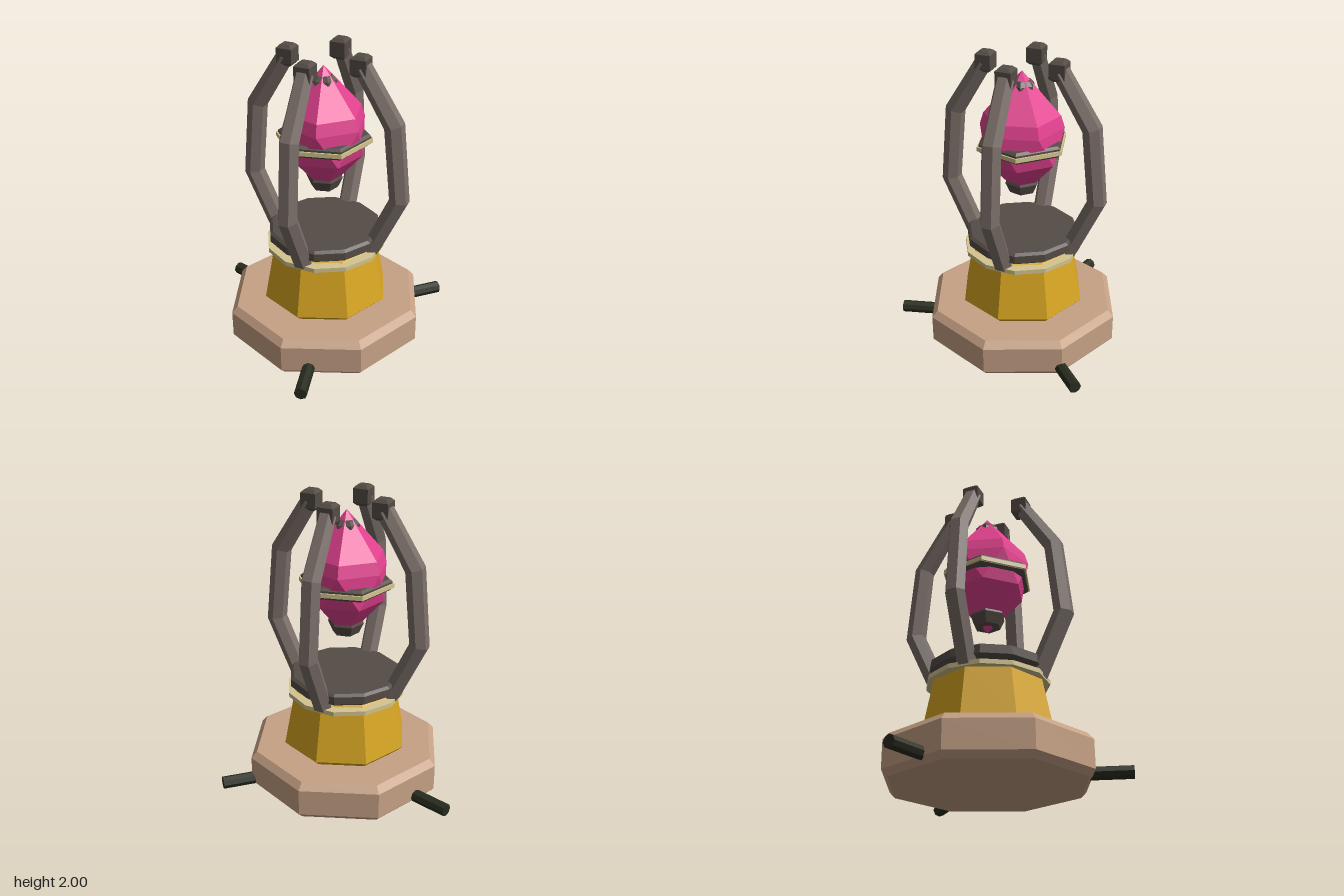
import * as THREE from 'three';
import { ConvexGeometry } from 'three/addons/geometries/ConvexGeometry.js';

const AXIS_X = -0.103; // the pedestal's axis; one peg reaches further along +x

const mat = (name, color) => {
  const m = new THREE.MeshStandardMaterial({ color });
  m.name = name;
  return m;
};

// Faceted normals for every part
function faceted(geometry) {
  const g = geometry.index ? geometry.toNonIndexed() : geometry;
  g.computeVertexNormals();
  return g;
}

// Faceted solid of revolution; profile runs bottom to top as [radius, y]
function turned(profile, sides, phase = 0) {
  const pts = profile.map(([r, y]) => new THREE.Vector2(r, y));
  return faceted(new THREE.LatheGeometry(pts, sides, phase));
}

// Hexagonal bar along a bent path in the xy plane, mitred at the bends
function bentBar(path, radii) {
  const p = path.map(([x, y]) => new THREE.Vector2(x, y));
  const last = p.length - 1;
  const pos = [], idx = [];
  p.forEach((c, i) => {
    const a = p[Math.max(i - 1, 0)], b = p[Math.min(i + 1, last)];
    const dIn = (i ? c.clone().sub(a) : b.clone().sub(c)).normalize();
    const dOut = (i < last ? b.clone().sub(c) : c.clone().sub(a)).normalize();
    const t = dIn.clone().add(dOut).normalize();
    const stretch = 1 / t.dot(dIn);
    for (let k = 0; k < 6; k++) {
      const ang = (k + 0.5) * Math.PI / 3;
      const u = Math.cos(ang) * radii[i] * stretch;
      pos.push(c.x + t.y * u, c.y - t.x * u, Math.sin(ang) * radii[i]);
    }
  });
  for (let i = 0; i < last; i++) {
    for (let k = 0; k < 6; k++) {
      const a = i * 6 + k, b = i * 6 + (k + 1) % 6;
      idx.push(a, a + 6, b, b, a + 6, b + 6);
    }
  }
  const top = last * 6;
  for (let k = 1; k < 5; k++) {
    idx.push(0, k, k + 1);
    idx.push(top, top + k + 1, top + k);
  }
  const g = new THREE.BufferGeometry();
  g.setAttribute('position', new THREE.Float32BufferAttribute(pos, 3));
  g.setIndex(idx);
  return faceted(g);
}

// Upright block with chamfered edges, centred on the origin
function chamferedBlock(half, height, c) {
  const s = half - c;
  const shape = new THREE.Shape([[-s, -s], [s, -s], [s, s], [-s, s]].map(([x, y]) => new THREE.Vector2(x, y)));
  const g = new THREE.ExtrudeGeometry(shape, {
    depth: height - 2 * c, bevelEnabled: true, bevelSize: c, bevelThickness: c, bevelSegments: 1,
  });
  g.translate(0, 0, -height / 2 + c);
  g.rotateX(-Math.PI / 2);
  return faceted(g);
}

export function createModel() {
  const clay = mat('clay', 0xc6a185);
  const gold = mat('gold', 0xd9a723);
  const iron = mat('dark iron', 0x554c46);
  const steel = mat('warm grey', 0x7b6f69);
  const cream = mat('cream', 0xd4c58f);
  const pink = mat('pink crystal', 0xe2418f);
  const black = mat('peg black', 0x282c1e);

  const model = new THREE.Group();
  model.name = 'crystalPedestal';
  const body = new THREE.Group();
  body.name = 'body';
  body.position.x = AXIS_X;
  model.add(body);

  const add = (name, geometry, material, parent = body) => {
    const mesh = new THREE.Mesh(geometry, material);
    mesh.name = name;
    parent.add(mesh);
    return mesh;
  };

  // Octagonal base and tapered plinth
  add('base', turned([[0, 0], [0.63, 0], [0.67, 0.04], [0.67, 0.22], [0.63, 0.265], [0, 0.265]], 8), clay);
  add('plinth', turned([[0, 0.26], [0.39, 0.26], [0.43, 0.3], [0.36, 0.66], [0.32, 0.705], [0, 0.715]], 8), gold);

  // Collar ring and dark top plate
  add('collar', turned([[0.33, 0.647], [0.395, 0.647], [0.395, 0.677], [0.33, 0.677]], 12), cream);
  add('topPlate', turned([[0, 0.708], [0.36, 0.708], [0.38, 0.723], [0.38, 0.775], [0.36, 0.79], [0, 0.79]], 12), iron);

  // Three pegs around the base
  for (let i = 0; i < 3; i++) {
    const g = new THREE.CylinderGeometry(0.042, 0.042, 0.4, 8);
    g.rotateZ(-Math.PI / 2);
    g.translate(0.673, 0.063, 0);
    add('peg', faceted(g), black).rotation.y = i * Math.PI * 2 / 3;
  }

  // Four bent arms with blocks at their tips
  const armGeo = bentBar([[0.335, 0.68], [0.52, 1.08], [0.472, 1.58], [0.258, 1.925]], [0.064, 0.065, 0.065, 0.058]);
  const tipGeo = chamferedBlock(0.052, 0.135, 0.02);
  for (let i = 0; i < 4; i++) {
    const arm = new THREE.Group();
    arm.name = 'arm';
    arm.rotation.y = Math.PI / 4 + i * Math.PI / 2;
    body.add(arm);
    add('armBar', armGeo, steel, arm);
    add('armTip', tipGeo, iron, arm).position.set(0.247, 1.9325, 0);
  }

  // Crystal: hexagonal rings, the lower one turned by 30 degrees
  const pts = [new THREE.Vector3(0, 1.03, 0), new THREE.Vector3(0, 1.9, 0)];
  for (const [r, y, turn] of [[0.25, 1.31, 0.5], [0.275, 1.53, 0], [0.25, 1.61, 0]]) {
    for (let k = 0; k < 6; k++) {
      const a = (k + turn) * Math.PI / 3;
      pts.push(new THREE.Vector3(r * Math.cos(a), y, r * Math.sin(a)));
    }
  }
  add('crystal', faceted(new ConvexGeometry(pts)), pink);

  // Caps at both ends of the crystal
  add('crystalLowerCap', turned([[0, 1.07], [0.088, 1.07], [0.12, 1.14], [0.112, 1.16], [0, 1.16]], 6), iron);
  add('crystalUpperCap', turned([[0, 1.79], [0.086, 1.79], [0.083, 1.81], [0.058, 1.84], [0, 1.84]], 6), iron);

  // Belt around the crystal with a cream band
  add('crystalBelt', turned([[0.2, 1.385], [0.285, 1.385], [0.3, 1.4], [0.3, 1.445], [0.28, 1.46], [0.2, 1.46]], 6), iron);
  add('crystalBeltBand', turned([[0.29, 1.404], [0.312, 1.404], [0.312, 1.432], [0.29, 1.432]], 6), cream);

  return model;
}
